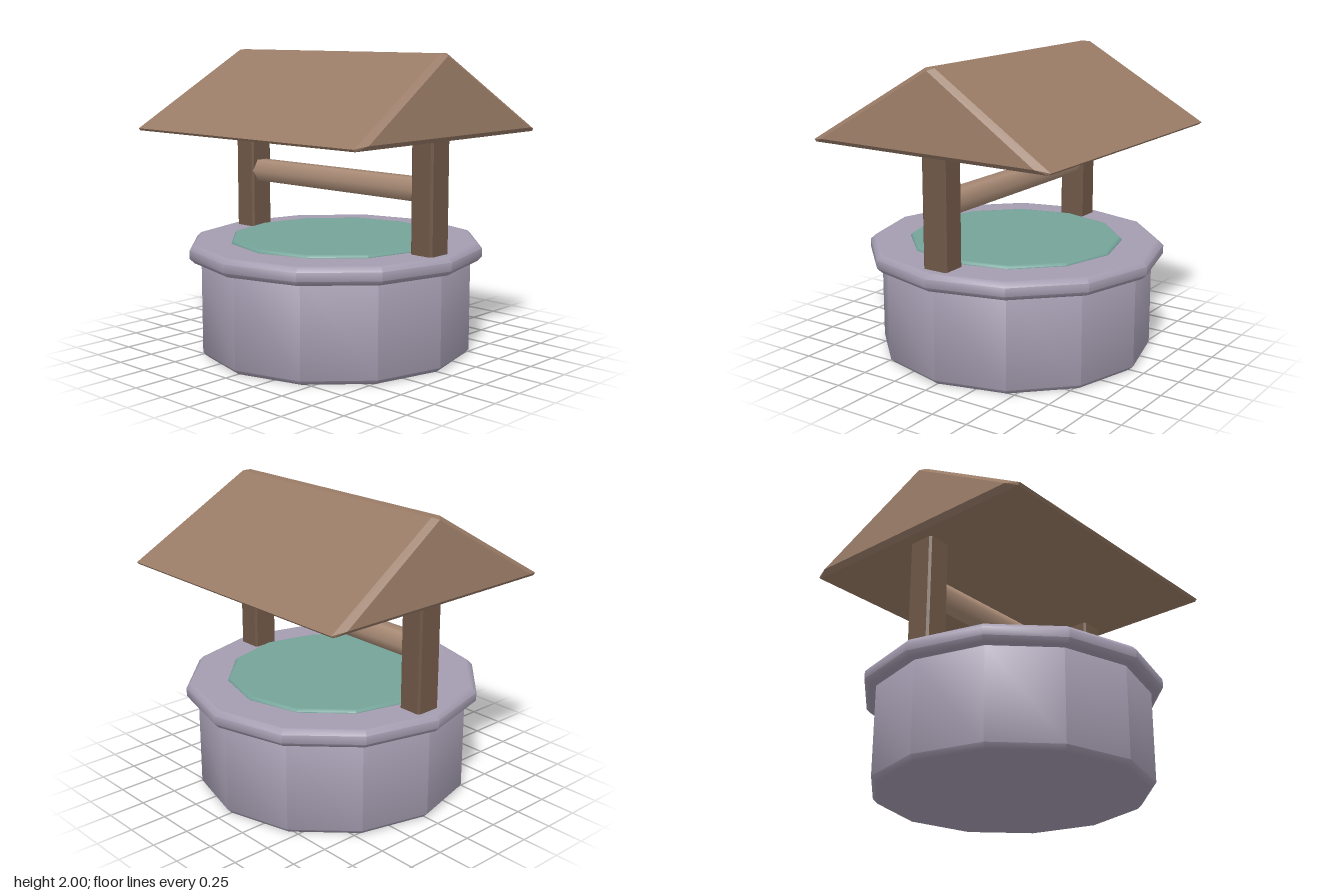
import * as THREE from 'three';
import { toCreasedNormals } from 'three/addons/utils/BufferGeometryUtils.js';
import { ConvexGeometry } from 'three/addons/geometries/ConvexGeometry.js';

const mat = (color, flatShading = false) => new THREE.MeshStandardMaterial({ color, flatShading });

// Solid 12-sided disc with chamfered top and bottom edges, slightly narrower in x
function disc(r, y0, y1, c) {
  const profile = [
    [0, y0], [r - c * 1.5, y0], [r - c, y0], [r, y0 + c],
    [r, y1 - c], [r - c, y1], [r - c * 1.5, y1], [0, y1],
  ].map(([x, y]) => new THREE.Vector2(x, y));
  const g = new THREE.LatheGeometry(profile, 12);
  g.scale(0.982, 1, 1);
  return toCreasedNormals(g, 0.87);
}

// Upright beam with chamfered long edges
function beam(w, d, h, c) {
  const x = w / 2, z = d / 2;
  const shape = new THREE.Shape([
    [x, -z + c], [x, z - c], [x - c, z], [-x + c, z],
    [-x, z - c], [-x, -z + c], [-x + c, -z], [x - c, -z],
  ].map(([a, b]) => new THREE.Vector2(a, b)));
  return new THREE.ExtrudeGeometry(shape, { depth: h, bevelEnabled: false }).rotateX(-Math.PI / 2);
}

// Solid gable roof: leaning ends, all edges chamfered
function roofGeometry() {
  const pts = [];
  for (const sx of [-1, 1]) {
    pts.push(new THREE.Vector3(sx * 0.93, 1.985, 0));        // gable peak
    for (const sz of [-1, 1]) {
      pts.push(
        new THREE.Vector3(sx, 1.505, sz * 0.8),              // gable corner
        new THREE.Vector3(sx * 0.895, 2, sz * 0.033),        // ridge
        new THREE.Vector3(sx * 0.966, 1.49, sz * 0.89),      // eave
        new THREE.Vector3(sx * 0.966, 1.475, sz * 0.875),    // underside
      );
    }
  }
  return new ConvexGeometry(pts);
}

export function createModel() {
  const model = new THREE.Group();
  model.name = 'well';
  const add = (name, geometry, material) => {
    const mesh = new THREE.Mesh(geometry, material);
    mesh.name = name;
    model.add(mesh);
    return mesh;
  };

  const stone = mat(0xa49cb0);
  const postWood = mat(0x705848, true);

  // Stone base, rim and water
  add('wellBase', disc(0.922, 0, 0.66, 0.03), stone);
  add('wellRim', disc(1, 0.635, 0.75, 0.03), stone);
  add('water', disc(0.72, 0.7, 0.77, 0.015), mat(0x74a399));

  // Posts
  for (const [name, s] of [['leftPost', 1], ['rightPost', -1]]) {
    add(name, beam(0.17, 0.18, 0.8, 0.014), postWood).position.set(s * 0.805, 0.72, 0);
  }

  // Hexagonal roller between the posts, corners facing front and back
  const roller = new THREE.CylinderGeometry(0.085, 0.085, 1.56, 6);
  roller.rotateZ(Math.PI / 2);
  add('roller', roller, mat(0xa98b76)).position.y = 1.152;

  // Roof
  add('roof', roofGeometry(), mat(0x997b66, true));

  return model;
}
